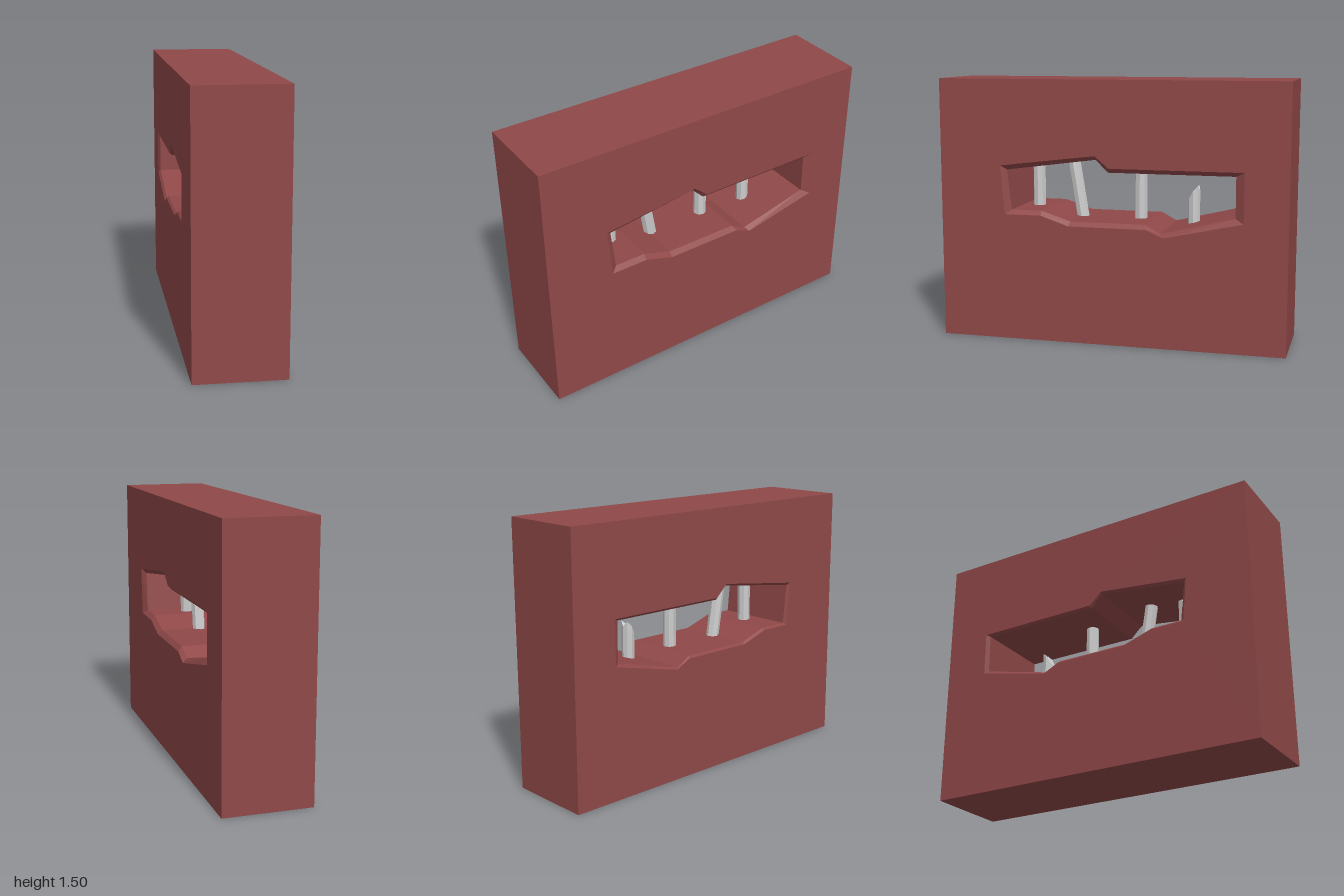
import * as THREE from 'three';

const HALF = 0.25, RIM = 0.025;
const masonry = new THREE.MeshStandardMaterial({ color: 0x904848, flatShading: true });
const metal = new THREE.MeshStandardMaterial({ color: 0xcccccc, flatShading: true });

// Wall outline (counter-clockwise) and jagged opening (clockwise), as [along, up]
const wallEdge = [[-1, 0], [1, 0], [1, 1.5], [-1, 1.5]];
const mouth = [[-0.638, 1.01], [-0.08, 1.078], [0, 1.01], [0.756, 1.01], [0.756, 0.73],
  [0.31, 0.632], [0.215, 0.675], [-0.235, 0.675], [-0.4, 0.73], [-0.615, 0.73]];
const throat = [[-0.606, 0.985], [-0.08, 1.055], [-0.01, 0.985], [0.708, 0.985], [0.708, 0.755],
  [0.29, 0.652], [0.2, 0.7], [-0.23, 0.7], [-0.4, 0.755], [-0.58, 0.755]];
// The back mouth flares only about half as far as the front one
const backMouth = throat.map(([u, y], i) => [(u + mouth[i][0]) / 2, (y + mouth[i][1]) / 2]);

// Joins two matching loops at depths zA (back) and zB (front)
function loft(a, zA, b, zB) {
  const pos = [];
  a.forEach((p, i) => {
    const j = (i + 1) % a.length;
    const A = [...p, zA], B = [...a[j], zA], C = [...b[j], zB], D = [...b[i], zB];
    pos.push(...A, ...B, ...C, ...A, ...C, ...D);
  });
  const g = new THREE.BufferGeometry();
  g.setAttribute('position', new THREE.Float32BufferAttribute(pos, 3));
  g.computeVertexNormals();
  return g;
}

// Flat wall face pierced by the opening
function face(hole, mirror) {
  const pts = (list) => list.map(([u, y]) => new THREE.Vector2(u * mirror, y));
  const shape = new THREE.Shape(pts(wallEdge));
  shape.holes.push(new THREE.Path(pts(hole)));
  return new THREE.ShapeGeometry(shape).translate(0, 0, HALF);
}

// Octagonal bar between two [z, y] points
function bar(name, from, to, r = 0.037) {
  const a = new THREE.Vector3(0, from[1], from[0]), b = new THREE.Vector3(0, to[1], to[0]);
  const mesh = new THREE.Mesh(new THREE.CylinderGeometry(r, r, a.distanceTo(b), 8), metal);
  mesh.position.copy(a).add(b).multiplyScalar(0.5);
  mesh.quaternion.setFromUnitVectors(new THREE.Vector3(0, 1, 0), b.clone().sub(a).normalize());
  mesh.name = name;
  return mesh;
}

export function createModel() {
  const root = new THREE.Group();
  root.name = 'barredWallOpening';

  // Wall block, modelled facing +z and then turned to face +x
  const wall = new THREE.Group();
  wall.name = 'wall';
  wall.rotation.y = Math.PI / 2;
  const add = (name, geometry) => {
    const mesh = new THREE.Mesh(geometry, masonry);
    mesh.name = name;
    wall.add(mesh);
  };
  add('outerSides', loft(wallEdge, -HALF, wallEdge, HALF));
  add('frontFace', face(mouth, 1));
  add('backFace', face(backMouth, -1).rotateY(Math.PI));
  add('frontChamfer', loft(throat, HALF - RIM, mouth, HALF));
  add('openingWalls', loft(throat, -HALF + RIM / 2, throat, HALF - RIM));
  add('backChamfer', loft(backMouth, -HALF, throat, -HALF + RIM / 2));
  root.add(wall);

  // Three whole bars, one of them bent out of line
  root.add(bar('endBar', [0.487, 0.7], [0.487, 1.06]));
  root.add(bar('leaningBar', [0.21, 0.64], [0.285, 1.1]));
  root.add(bar('middleBar', [-0.128, 0.64], [-0.128, 1.05]));

  // Snapped bar: top vertices rise to a sharp off-centre tip
  const stump = bar('brokenBar', [-0.438, 0.6], [-0.438, 0.8], 0.035);
  const p = stump.geometry.attributes.position;
  for (let i = 0; i < p.count; i++) {
    if (p.getY(i) < 0) continue;
    const t = (0.035 - p.getZ(i)) / 0.07;
    const height = t < 0.8 ? 0.81 + 0.125 * t : 0.91 - 0.2 * (t - 0.8);
    p.setY(i, height - 0.7);
  }
  stump.geometry.computeVertexNormals();
  root.add(stump);

  return root;
}
